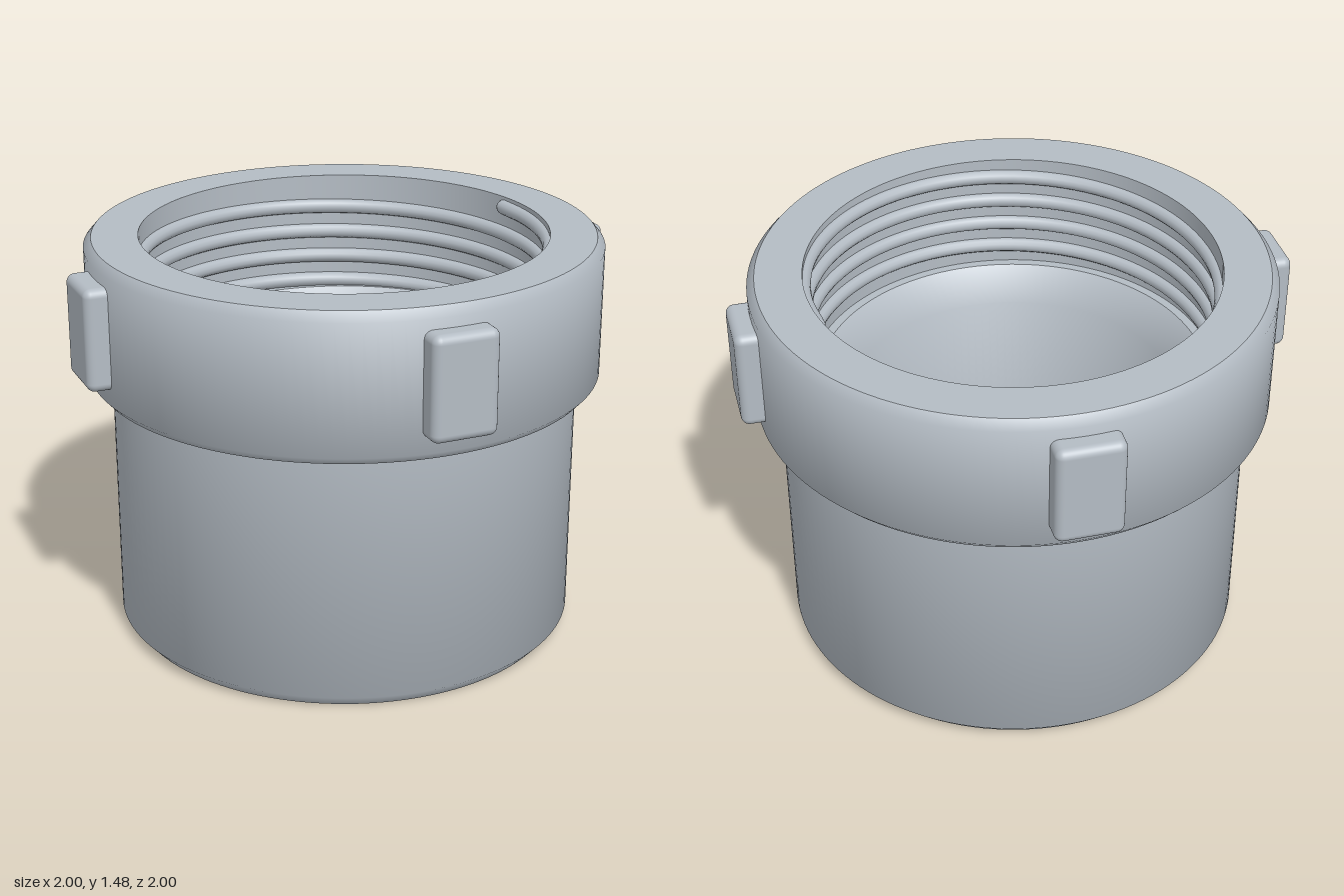
import * as THREE from 'three';
import { toCreasedNormals } from 'three/addons/utils/BufferGeometryUtils.js';
import { RoundedBoxGeometry } from 'three/addons/geometries/RoundedBoxGeometry.js';

const TOP = 1.475, WALL = 0.733, LEDGE_Y = 1.03;

export function createModel() {
  const model = new THREE.Group();
  model.name = 'threadedPipeAdapter';
  const grey = new THREE.MeshStandardMaterial({ color: 0xb4bcc4 });
  grey.name = 'grey plastic';

  const add = (name, geometry, parent = model) => {
    const mesh = new THREE.Mesh(geometry, grey);
    mesh.name = name;
    parent.add(mesh);
    return mesh;
  };

  // Turned part: chamfers blend into the walls, rims stay crisp
  const turn = (profile) => toCreasedNormals(
    new THREE.LatheGeometry(profile.map(([r, y]) => new THREE.Vector2(r, y)), 128), 0.76);

  // Lower sleeve: ledge under the thread, funnel, straight bore, chamfered foot, outer wall
  add('sleeve', turn([
    [WALL, LEDGE_Y], [0.70, LEDGE_Y], [0.60, 0.92], [0.60, 0],
    [0.803, 0], [0.844, 0.046], [0.844, 0.95],
  ]));

  // Wider collar around the threaded socket
  add('collar', turn([
    [0.844, 0.95], [0.902, 0.95], [0.927, 0.978], [0.927, TOP - 0.032], [0.899, TOP],
    [WALL, TOP], [WALL, LEDGE_Y],
  ]));

  // Internal thread: a rounded helical rib descending from the left side
  const thread = new THREE.Group();
  thread.name = 'internalThread';
  model.add(thread);
  const turns = 4, pitch = 0.1, steps = turns * 32, ribRadius = 0.028;
  const points = [];
  for (let i = 0; i <= steps; i++) {
    const t = i / steps, a = -0.2 + t * turns * Math.PI * 2;
    points.push(new THREE.Vector3(
      Math.cos(a) * WALL, 1.435 - t * turns * pitch, Math.sin(a) * WALL));
  }
  const helix = new THREE.CatmullRomCurve3(points);
  add('threadRib', new THREE.TubeGeometry(helix, steps * 3, ribRadius, 12), thread);
  for (const end of [points[0], points[steps]]) {
    add('threadEnd', new THREE.SphereGeometry(ribRadius, 12, 8), thread).position.copy(end);
  }

  // Four grip lugs around the collar
  for (let i = 0; i < 4; i++) {
    const lug = new THREE.Group();
    lug.name = 'gripLug';
    lug.rotation.y = i * Math.PI / 2;
    model.add(lug);
    add('gripBlock', new RoundedBoxGeometry(0.24, 0.37, 0.14, 4, 0.03), lug)
      .position.set(0, 1.22, 0.93);
  }

  return model;
}
